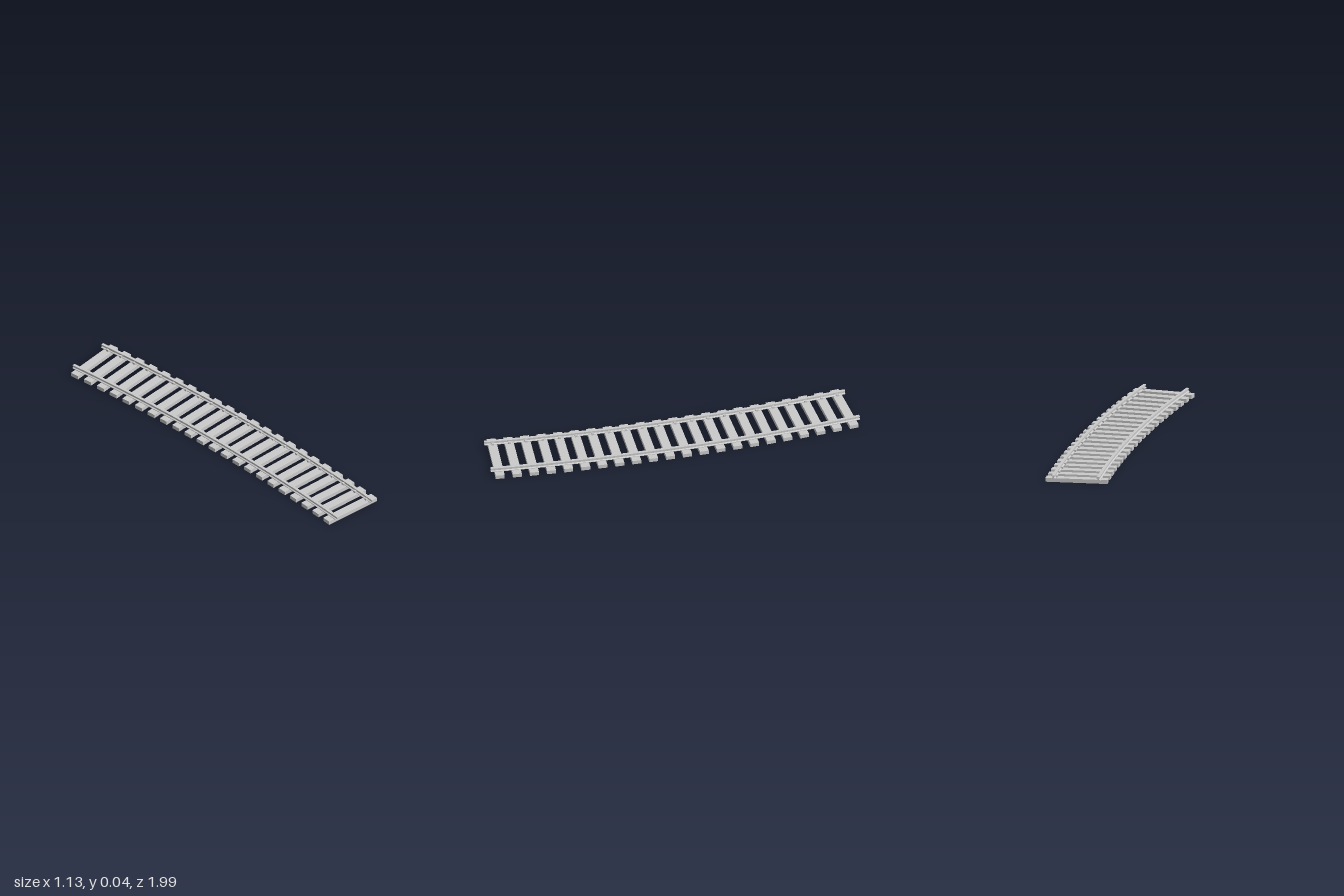
import * as THREE from 'three';

const R = 10.95;            // centre-line radius of the curve
const MID = 1.9888;         // polar angle of the middle of the track
const HALF = 0.0943;        // half of the angle the rails sweep
const TIES = 22;
const STEP = 0.00858;       // angle between neighbouring ties
const GAUGE = 0.125;        // rail centre to track centre
const TIE_H = 0.022;

// Rail section: foot, web and head (half width, height), right side going up
const HALF_SECTION = [
  [0.011, TIE_H], [0.011, 0.025], [0.004, 0.028],
  [0.004, 0.035], [0.008, 0.037], [0.008, 0.043],
];

export function createModel() {
  const model = new THREE.Group();
  model.name = 'curvedTrack';
  const material = new THREE.MeshStandardMaterial({ color: 0xcccccc, flatShading: true });
  const capMaterial = new THREE.MeshStandardMaterial({ color: 0xcccccc, side: THREE.DoubleSide });

  // Everything is laid out around the centre of the curve
  const track = new THREE.Group();
  track.name = 'track';
  track.position.set(0.038 - R * Math.sin(MID), 0, -0.014 - R * Math.cos(MID));
  model.add(track);

  const place = (name, geometry, mat, radius, y, angle) => {
    const mesh = new THREE.Mesh(geometry, mat);
    mesh.name = name;
    mesh.position.set(radius * Math.sin(angle), y, radius * Math.cos(angle));
    mesh.rotation.y = angle - Math.PI / 2;
    track.add(mesh);
  };

  // Rails: the section swept along the arc, with a cap on each end
  const section = [
    ...HALF_SECTION,
    ...HALF_SECTION.map(([x, y]) => [-x, y]).reverse(),
  ].map(([x, y]) => new THREE.Vector2(x, y));
  const cap = new THREE.ShapeGeometry(new THREE.Shape(section));

  for (const side of [-1, 1]) {
    const radius = R + side * GAUGE;
    const name = side > 0 ? 'outerRail' : 'innerRail';
    const profile = [...section, section[0]].map((p) => new THREE.Vector2(p.x + radius, p.y));
    const rail = new THREE.Mesh(
      new THREE.LatheGeometry(profile, TIES, MID - HALF, 2 * HALF), material);
    rail.name = name;
    track.add(rail);
    for (const end of [-1, 1]) place(name + 'End', cap, capMaterial, radius, 0, MID + end * HALF);
  }

  // Ties, each with a small clip on the inward side of both rails
  const tie = new THREE.BoxGeometry(0.345, TIE_H, 0.05);
  const clip = new THREE.BoxGeometry(0.012, 0.011, 0.014);
  for (let i = 0; i < TIES; i++) {
    const angle = MID + (i - (TIES - 1) / 2) * STEP;
    place('tie', tie, material, R, TIE_H / 2, angle);
    for (const side of [-1, 1]) {
      place('railClip', clip, material, R + side * (GAUGE - 0.011), TIE_H + 0.0055, angle);
    }
  }
  return model;
}
